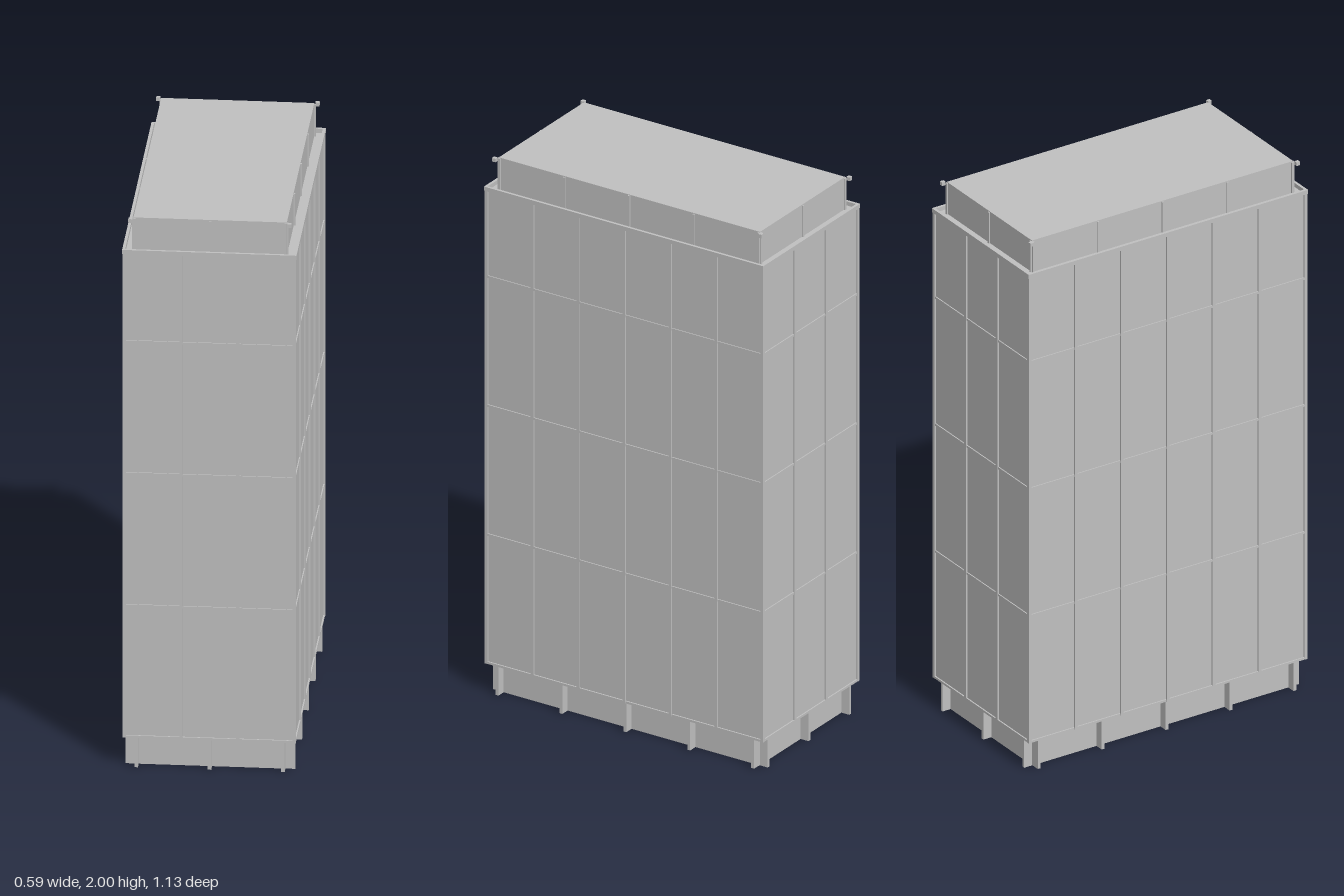
import * as THREE from 'three';

export function createModel() {
  const model = new THREE.Group();
  model.name = 'tower';
  const grey = new THREE.MeshStandardMaterial({ color: 0xbfbfbf });
  grey.name = 'light grey';

  // Box given by its min and max on each axis
  function box(parent, name, x0, x1, y0, y1, z0, z1) {
    const mesh = new THREE.Mesh(new THREE.BoxGeometry(x1 - x0, y1 - y0, z1 - z0), grey);
    mesh.position.set((x0 + x1) / 2, (y0 + y1) / 2, (z0 + z1) / 2);
    mesh.name = name;
    parent.add(mesh);
  }

  function group(name) {
    const g = new THREE.Group();
    g.name = name;
    model.add(g);
    return g;
  }

  // Rectangular ring between half sizes (x, z) inside and the same plus t outside
  function ring(parent, name, x, z, t, y0, y1) {
    for (const s of [-1, 1]) {
      const a = s * x, b = s * (x + t), c = s * z, d = s * (z + t);
      box(parent, name, Math.min(a, b), Math.max(a, b), y0, y1, -z - t, z + t);
      box(parent, name, -x, x, y0, y1, Math.min(c, d), Math.max(c, d));
    }
  }

  // Vertical fins standing out from all four walls at the given stations
  function fins(parent, name, xs, zs, x, z, depth, width, y0, y1) {
    const w = width / 2;
    for (const s of [-1, 1]) {
      const zMid = s * (z + depth / 2), xMid = s * (x + depth / 2);
      for (const p of xs) box(parent, name, p - w, p + w, y0, y1, zMid - depth / 2, zMid + depth / 2);
      for (const p of zs) box(parent, name, xMid - depth / 2, xMid + depth / 2, y0, y1, p - w, p + w);
    }
  }

  const stations = (half, n) => Array.from({ length: n + 1 }, (_, i) => -half + (2 * half * i) / n);

  // Hollow base, open below, with buttress columns
  const base = group('base');
  ring(base, 'baseWall', 0.253, 0.523, 0.003, 0, 0.115);
  fins(base, 'baseColumn', stations(0.249, 2), stations(0.519, 4), 0.256, 0.526, 0.032, 0.012, 0, 0.112);

  // Main shaft with its curtain-wall grid
  const shaft = group('shaft');
  const X = 0.288, Z = 0.559, D = 0.006;
  box(shaft, 'shaftCore', -X, X, 0.11, 1.88, -Z, Z);
  fins(shaft, 'mullion', stations(0.2885, 3), stations(0.5595, 6), X, Z, D, 0.011, 0.11, 1.88);
  for (const y of [0.593, 1.076, 1.559]) ring(shaft, 'transom', X, Z, 0.004, y - 0.004, y + 0.004);
  ring(shaft, 'lowerBand', X, Z, D - 0.001, 0.11, 0.118);

  // Raised roof edge
  const parapet = group('parapet');
  ring(parapet, 'parapetEdge', 0.286, 0.557, 0.01, 1.88, 1.895);

  // Roof housing with ribs and small corner blocks
  const housing = group('roofHousing');
  box(housing, 'housingBody', -0.26, 0.26, 1.88, 2, -0.53, 0.53);
  fins(housing, 'housingRib', stations(0.256, 2), stations(0.526, 4), 0.26, 0.53, 0.005, 0.008, 1.88, 1.997);
  for (const sx of [-1, 1]) for (const sz of [-1, 1]) {
    const x = sx * 0.27, z = sz * 0.54;
    box(housing, 'cornerBlock', x - 0.007, x + 0.007, 1.987, 2, z - 0.007, z + 0.007);
  }
  return model;
}
